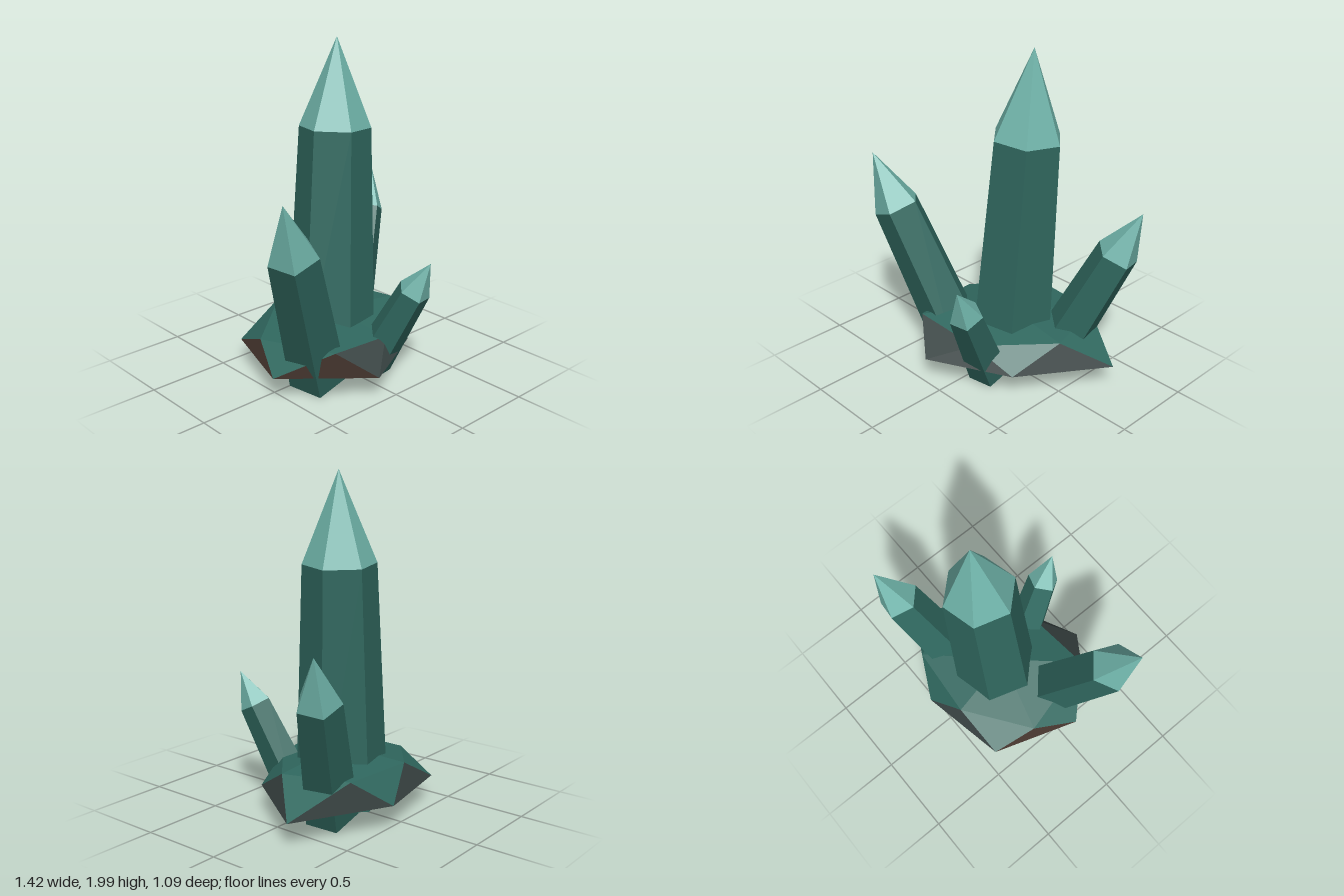
import * as THREE from 'three';

const material = (name, color) => {
  const m = new THREE.MeshStandardMaterial({ color });
  m.name = name;
  m.flatShading = true;
  return m;
};

export function createModel() {
  const model = new THREE.Group();
  model.name = 'crystalCluster';
  const deepTeal = material('deep teal', 0x30685f);
  const paleTeal = material('pale teal', 0x6fb3a9);
  const slate = material('slate grey', 0x3b4645);
  const brown = material('dark brown', 0x483730);

  // Crystal: tapered prism with a pointed tip, leaning from base to apex
  function crystal(name, base, apex, radius, topRadius, sides, turn) {
    const start = new THREE.Vector3(...base);
    const axis = new THREE.Vector3(...apex).sub(start);
    const length = axis.length();
    const shaftLength = length * 0.73;
    const tipLength = length - shaftLength;
    const angle = THREE.MathUtils.degToRad(turn);
    const group = new THREE.Group();
    group.name = name;

    const shaft = new THREE.CylinderGeometry(topRadius, radius, shaftLength, sides);
    shaft.translate(0, shaftLength / 2, 0).rotateY(angle);
    const shaftMesh = new THREE.Mesh(shaft, deepTeal);
    shaftMesh.name = name + 'Shaft';

    const tip = new THREE.ConeGeometry(topRadius, tipLength, sides, 1, true);
    tip.translate(0, shaftLength + tipLength / 2, 0).rotateY(angle);
    const tipMesh = new THREE.Mesh(tip, paleTeal);
    tipMesh.name = name + 'Tip';

    group.add(shaftMesh, tipMesh);
    group.position.copy(start);
    group.quaternion.setFromUnitVectors(new THREE.Vector3(0, 1, 0), axis.normalize());
    model.add(group);
  }

  crystal('mainCrystal', [0.015, 0.075, -0.08], [0.125, 2, -0.14], 0.272, 0.212, 6, 43);
  crystal('leftCrystal', [-0.25, 0.08, 0.1], [-0.71, 1.29, 0.36], 0.178, 0.146, 5, -183);
  crystal('rightCrystal', [0.27, 0.08, -0.2], [0.7, 1.1, -0.44], 0.16, 0.13, 5, -4);
  crystal('frontCrystal', [0.1, 0.07, 0.19], [0.22, 0.78, 0.54], 0.128, 0.1, 5, -168);

  // Rock: a wide rim and a raised shoulder ring, alternating around the base
  const rim = [
    [-0.58, 0.165, 0.09], [-0.13, 0.165, 0.49], [0.36, 0.165, 0.25],
    [0.7, 0.165, -0.25], [0.14, 0.165, -0.545], [-0.4, 0.165, -0.44],
  ];
  const shoulder = [
    [-0.33, 0.33, 0.34], [0.1, 0.285, 0.31], [0.48, 0.33, -0.02],
    [0.37, 0.34, -0.42], [-0.08, 0.34, -0.46], [-0.46, 0.28, -0.17],
  ];
  const crown = [0, 0.38, -0.05];
  const foot = [0.03, 0.045, -0.04];
  const top = [], side = [], under = [];
  for (let i = 0; i < 6; i++) {
    const j = (i + 1) % 6;
    // The two left-hand facets are bare brown stone
    (i === 0 || i === 5 ? under : side).push(rim[i], rim[j], shoulder[i]);
    (i === 0 ? side : top).push(shoulder[i], rim[j], shoulder[j]);
    top.push(crown, shoulder[i], shoulder[j]);
    under.push(foot, rim[j], rim[i]);
  }
  const rock = new THREE.Group();
  rock.name = 'rockBase';
  const parts = [['rockTop', top, deepTeal], ['rockSides', side, slate], ['rockUnderside', under, brown]];
  for (const [name, corners, mat] of parts) {
    const geometry = new THREE.BufferGeometry();
    geometry.setAttribute('position', new THREE.Float32BufferAttribute(corners.flat(), 3));
    geometry.computeVertexNormals();
    const mesh = new THREE.Mesh(geometry, mat);
    mesh.name = name;
    rock.add(mesh);
  }
  model.add(rock);
  return model;
}
